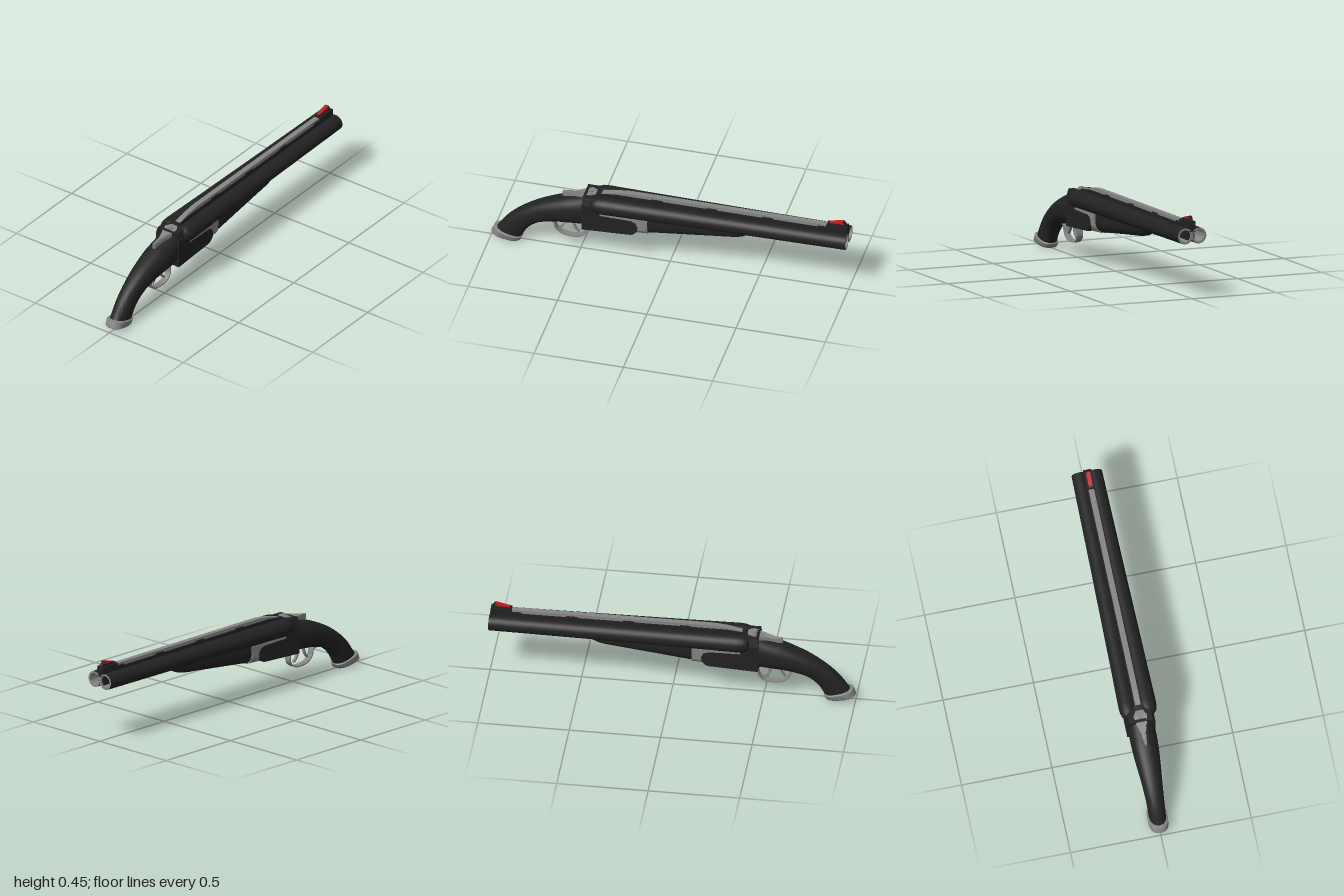
import * as THREE from 'three';
import { toCreasedNormals } from 'three/addons/utils/BufferGeometryUtils.js';

const mat = (name, color, side = THREE.FrontSide) =>
  Object.assign(new THREE.MeshStandardMaterial({ color, side }), { name });

// Side profile of [z, y] points, extruded across x and centred on x = 0
function sideExtrude(points, width, bevel = 0) {
  const shape = new THREE.Shape(points.map(([z, y]) => new THREE.Vector2(z, y)));
  const depth = width - 2 * bevel;
  const geo = new THREE.ExtrudeGeometry(shape, {
    depth, bevelEnabled: bevel > 0, bevelSize: bevel, bevelThickness: bevel,
    bevelOffset: -bevel, bevelSegments: 2,
  });
  return geo.translate(0, 0, -depth / 2).rotateY(-Math.PI / 2);
}

// Loft through rings: [top z, top y, bottom z, bottom y, half width], front to back (+z)
function loft(sections, power = 2.3, sides = 32) {
  const pos = [], idx = [];
  const e = 2 / power;
  const bend = (v) => Math.sign(v) * Math.abs(v) ** e;
  sections.forEach(([tz, ty, bz, by, w]) => {
    for (let j = 0; j < sides; j++) {
      const a = (j / sides) * Math.PI * 2;
      const s = bend(Math.sin(a)) / 2;
      pos.push(w * bend(Math.cos(a)), (ty + by) / 2 + s * (ty - by), (tz + bz) / 2 + s * (tz - bz));
    }
  });
  const last = (sections.length - 1) * sides;
  for (let j = 0; j < sides; j++) {
    const k = (j + 1) % sides;
    for (let o = 0; o < last; o += sides) {
      idx.push(o + j, o + k, o + sides + j, o + k, o + sides + k, o + sides + j);
    }
    if (j > 0 && j < sides - 1) idx.push(0, k, j, last, last + j, last + k);
  }
  const geo = new THREE.BufferGeometry();
  geo.setAttribute('position', new THREE.Float32BufferAttribute(pos, 3));
  geo.setIndex(idx);
  return toCreasedNormals(geo, 0.7);
}

// Smooth the loft sections with a spline on every column
function smooth(sections, steps) {
  const curve = (c) => new THREE.CatmullRomCurve3(sections.map((s) => new THREE.Vector3(s[c], s[c + 1], s[4])));
  const top = curve(0), bottom = curve(2);
  return Array.from({ length: steps + 1 }, (_, i) => {
    const t = top.getPoint(i / steps), b = bottom.getPoint(i / steps);
    return [t.x, t.y, b.x, b.y, t.z];
  });
}

// Thin curved band following [z, y] points
function band(points, width, thick) {
  const curve = new THREE.SplineCurve(points.map(([z, y]) => new THREE.Vector2(z, y)));
  const outer = [], inner = [];
  for (let i = 0; i <= 32; i++) {
    const p = curve.getPoint(i / 32), t = curve.getTangent(i / 32);
    outer.push([p.x - t.y * thick / 2, p.y + t.x * thick / 2]);
    inner.unshift([p.x + t.y * thick / 2, p.y - t.x * thick / 2]);
  }
  return toCreasedNormals(sideExtrude([...outer, ...inner], width), 0.6);
}

export function createModel() {
  const model = new THREE.Group();
  model.name = 'doubleBarrelModel';
  const black = mat('black', 0x222222);
  const grey = mat('steelGrey', 0x858585);
  const red = mat('red', 0xc01c1c);
  const add = (name, geo, material, parent = model) => {
    const mesh = new THREE.Mesh(geo, material);
    mesh.name = name;
    parent.add(mesh);
    return mesh;
  };
  const v2 = (pts) => pts.map(([x, y]) => new THREE.Vector2(x, y));

  // Barrels, converging slightly toward the muzzle
  const len = 1.425;
  for (const side of [1, -1]) {
    const barrel = new THREE.Group();
    barrel.name = side > 0 ? 'leftBarrel' : 'rightBarrel';
    const tube = new THREE.LatheGeometry(v2([[0, 0], [0.028, 0], [0.04, 0.012], [0.048, 0.035],
      [0.05, 0.07], [0.048, 0.3], [0.045, 0.9], [0.044, len]]), 32);
    add('barrelTube', tube.rotateX(-Math.PI / 2), black, barrel);
    const bore = new THREE.LatheGeometry(v2([[0.044, len], [0.033, len], [0.033, len - 0.25], [0, len - 0.25]]), 32);
    add('bore', toCreasedNormals(bore.rotateX(-Math.PI / 2), 0.6), grey, barrel);
    barrel.position.set(side * 0.054, 0.347, 0.425);
    barrel.rotation.y = side * 0.0095;
    model.add(barrel);
  }
  add('barrelWeb', sideExtrude([[0.4, 0.32], [0.4, 0.375], [-0.99, 0.375], [-0.99, 0.32]], 0.04), black);

  // Sighting rib
  add('ribBase', sideExtrude([[0.46, 0.36], [0.46, 0.388], [0.38, 0.396], [0.3, 0.405], [-0.9, 0.402], [-0.9, 0.36]], 0.042), black);
  add('rib', sideExtrude([[0.38, 0.385], [0.38, 0.398], [0.3, 0.416], [0.22, 0.424], [-0.88, 0.421], [-0.88, 0.385]], 0.03), grey);
  for (let i = 0; i < 4; i++) {
    add('ribSpacer', new THREE.BoxGeometry(0.04, 0.02, 0.06).translate(0, 0.4, 0.07 - i * 0.31), black);
  }

  // Front sight
  add('sightBase', sideExtrude([[-0.88, 0.37], [-0.88, 0.425], [-0.995, 0.425], [-1, 0.37]], 0.046), black);
  add('sightBlade', sideExtrude([[-0.88, 0.42], [-0.885, 0.432], [-0.975, 0.452], [-0.995, 0.42]], 0.021), black);
  add('sightInsert', sideExtrude([[-0.893, 0.435], [-0.968, 0.4535], [-0.975, 0.436]], 0.0225), red);

  // Receiver with rounded lower front
  add('receiver', sideExtrude([[0.475, 0.183], [0.475, 0.29], [0.36, 0.29], [0.2, 0.287], [0.175, 0.275],
    [0.163, 0.25], [0.168, 0.222], [0.185, 0.205], [0.2, 0.197]], 0.156), black);
  const breech = new THREE.Shape(v2([[-0.078, 0.28], [0.078, 0.28], [0.078, 0.345], [0.064, 0.388], [-0.064, 0.388], [-0.078, 0.345]]));
  add('breechBlock', new THREE.ExtrudeGeometry(breech, { depth: 0.095, bevelEnabled: false }).translate(0, 0, 0.38), black);
  add('hingePlate', sideExtrude([[0.375, 0.28], [0.375, 0.3], [0.11, 0.3], [0.125, 0.27], [0.115, 0.235], [0.2, 0.235], [0.2, 0.28]], 0.15), grey);
  add('hingeIron', loft([[0.11, 0.36, 0.11, 0.194, 0.073], [0.22, 0.36, 0.22, 0.19, 0.076]], 3), grey);

  // Fore-end
  add('foreEnd', loft(smooth([
    [-0.46, 0.33, -0.46, 0.296, 0.03], [-0.44, 0.345, -0.435, 0.274, 0.042], [-0.4, 0.35, -0.395, 0.257, 0.05],
    [-0.25, 0.35, -0.25, 0.239, 0.057], [-0.05, 0.35, -0.05, 0.217, 0.065], [0.125, 0.35, 0.125, 0.197, 0.071],
  ], 24), 2.6), black);

  // Curved grip and its end cap
  add('grip', loft(smooth([
    [0.47, 0.37, 0.47, 0.183, 0.073], [0.53, 0.352, 0.55, 0.178, 0.074], [0.6, 0.332, 0.64, 0.168, 0.07],
    [0.757, 0.263, 0.735, 0.14, 0.058], [0.89, 0.166, 0.795, 0.088, 0.049], [0.97, 0.065, 0.832, 0.024, 0.046],
  ], 28), 2.3), black);
  add('gripCap', loft([
    [0.976, 0.072, 0.828, 0.03, 0.05], [0.985, 0.07, 0.825, 0.025, 0.055],
    [0.999, 0.035, 0.834, 0.006, 0.054], [0.994, 0.029, 0.84, 0.002, 0.05],
  ], 2.6), grey);

  // Trigger guard and two triggers
  add('triggerGuard', band([[0.685, 0.165], [0.65, 0.157], [0.637, 0.12], [0.605, 0.092], [0.555, 0.083],
    [0.505, 0.088], [0.472, 0.115], [0.468, 0.15], [0.48, 0.19]], 0.036, 0.007), grey);
  add('rearTrigger', band([[0.585, 0.19], [0.588, 0.16], [0.6, 0.135], [0.615, 0.117]], 0.016, 0.009), grey);
  add('frontTrigger', band([[0.53, 0.19], [0.537, 0.155], [0.528, 0.13], [0.508, 0.11]], 0.016, 0.009), grey);

  // Top lever: tapered plate with pivot screw and raised thumb tail
  const outline = new THREE.Shape(v2([[0, 0.4], [0.02, 0.41], [0.037, 0.44], [0.034, 0.465], [0.014, 0.53],
    [0.006, 0.6], [-0.006, 0.6], [-0.014, 0.53], [-0.034, 0.465], [-0.037, 0.44], [-0.02, 0.41]]));
  const lever = new THREE.ExtrudeGeometry(outline, { depth: 0.03, bevelEnabled: false }).rotateX(Math.PI / 2);
  const p = lever.attributes.position;
  for (let i = 0; i < p.count; i++) {
    const z = p.getZ(i);
    p.setY(i, p.getY(i) + 0.393 - Math.max(0, z - 0.44) * 0.26 + (z > 0.59 ? 0.016 : 0));
  }
  lever.computeVertexNormals();
  add('topLever', lever, grey);
  add('leverScrew', new THREE.CylinderGeometry(0.013, 0.013, 0.008, 20).translate(0, 0.395, 0.445), grey);
  return model;
}
